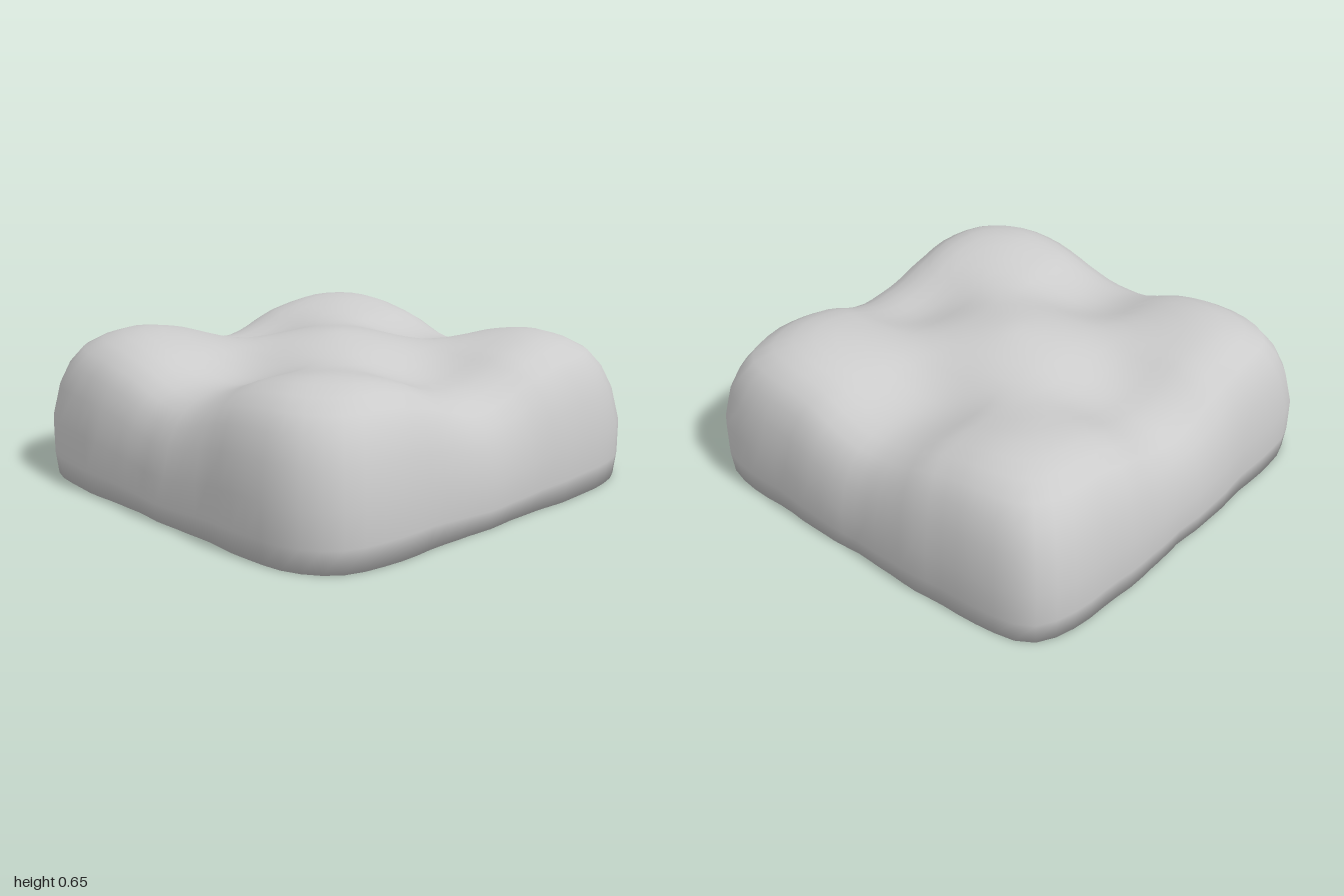
import * as THREE from 'three';

const SEGMENTS = 96;

// Wall profile from the base to the shoulder: [fraction of outline, height]
const WALL = [[0.99, 0], [1, 0.1], [1, 0.25], [0.97, 0.4], [0.93, 0.5], [0.88, 0.57], [0.81, 0.615], [0.74, 0.64]];
const CROWN = [0.67, 0.6, 0.52, 0.44, 0.36, 0.28, 0.2, 0.12, 0.05];
const RINGS = [...WALL, ...CROWN.map((s) => [s, 0.65])];

// Rounded-square outline with a slight ripple
function outline(a) {
  const n = 7;
  const r = (Math.abs(Math.cos(a)) ** n + Math.abs(Math.sin(a)) ** n) ** (-1 / n);
  return r * (0.993 + 0.005 * Math.sin(13 * a + 0.6) + 0.002 * Math.sin(29 * a));
}

// Raised centre and corners, with dips at the middle of each side
function crownHeight(x, z) {
  const wave = (v) => Math.cos((Math.PI * Math.min(Math.abs(v), 0.6)) / 0.6);
  const w = wave(x) * wave(z);
  return 0.6 + w * (w > 0 ? 0.05 : 0.085);
}

function moundGeometry() {
  const positions = [];
  const index = [];
  for (const [s, y] of RINGS) {
    for (let i = 0; i < SEGMENTS; i++) {
      const a = (i / SEGMENTS) * Math.PI * 2;
      const r = s * outline(a);
      const x = r * Math.cos(a);
      const z = r * Math.sin(a);
      positions.push(x, (y / 0.65) * crownHeight(x, z), z);
    }
  }
  const top = RINGS.length * SEGMENTS;
  const bottom = top + 1;
  positions.push(0, crownHeight(0, 0), 0, 0, 0, 0);

  for (let i = 0; i < SEGMENTS; i++) {
    const j = (i + 1) % SEGMENTS;
    for (let k = 0; k < RINGS.length - 1; k++) {
      const lo = k * SEGMENTS;
      const hi = lo + SEGMENTS;
      index.push(lo + i, hi + i, lo + j, lo + j, hi + i, hi + j);
    }
    // Close the crown and the flat underside
    const last = top - SEGMENTS;
    index.push(last + i, top, last + j);
    index.push(i, j, bottom);
  }

  const geometry = new THREE.BufferGeometry();
  geometry.setAttribute('position', new THREE.Float32BufferAttribute(positions, 3));
  geometry.setIndex(index);
  geometry.computeVertexNormals();
  return geometry;
}

export function createModel() {
  const group = new THREE.Group();
  group.name = 'moundModel';
  const mound = new THREE.Mesh(moundGeometry(), new THREE.MeshStandardMaterial({ color: 0xcccccc }));
  mound.name = 'mound';
  group.add(mound);
  return group;
}
